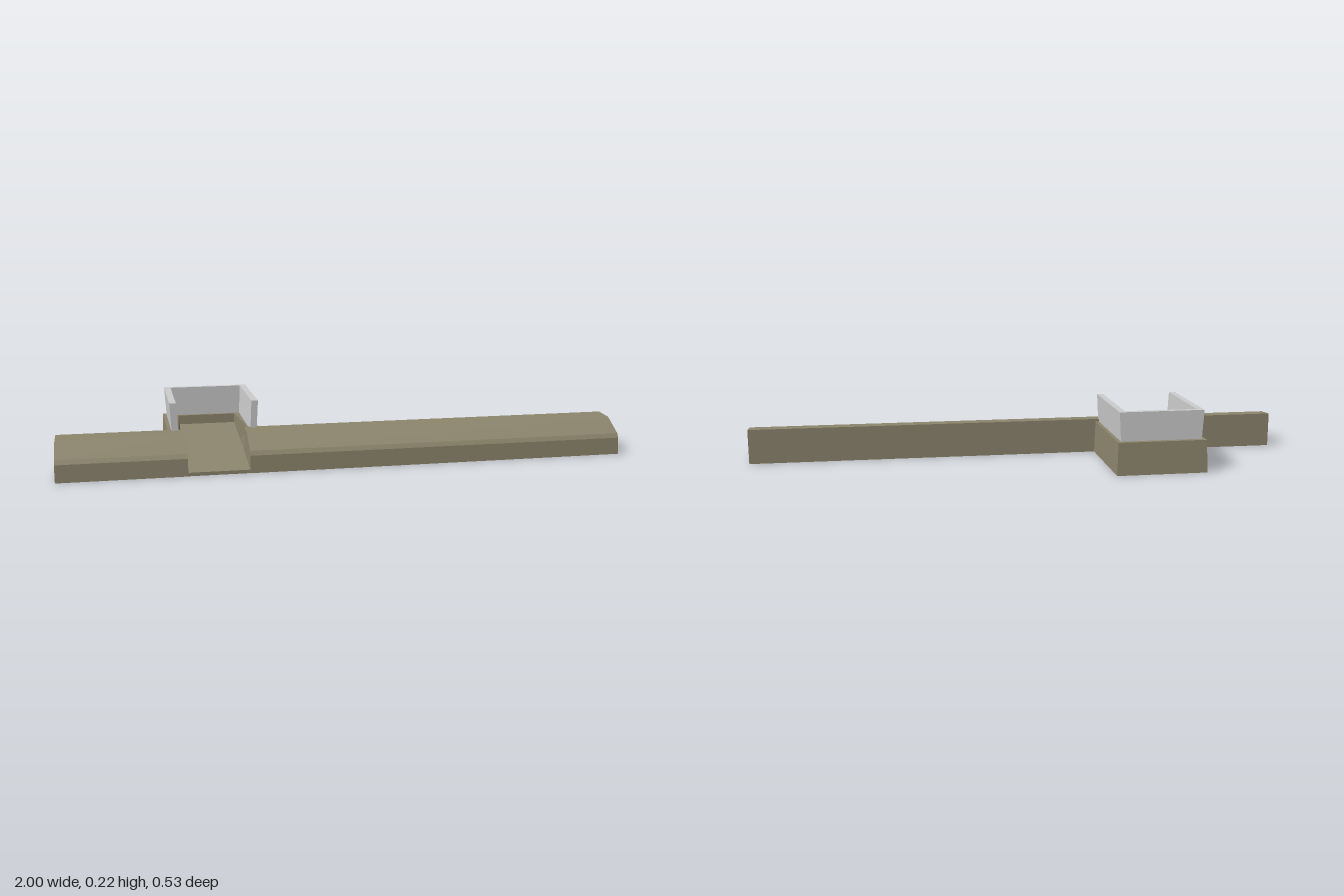
import * as THREE from 'three';

const earth = new THREE.MeshStandardMaterial({ color: 0x8c856d, flatShading: true });
const grey = new THREE.MeshStandardMaterial({ color: 0xcccccc, flatShading: true });

const PIT_X = -0.462; // centre line of the pit
const GAP = 0.105;    // half width of the ramp
const RIM_Y = 0.118;

// Solid lofted between a bottom and a top ring, both counter-clockwise seen from above
function loft(name, bottom, top) {
  const pos = [];
  const tri = (a, b, c) => pos.push(...a, ...b, ...c);
  const n = bottom.length;
  for (let i = 0; i < n; i++) {
    const j = (i + 1) % n;
    tri(bottom[i], bottom[j], top[j]);
    tri(bottom[i], top[j], top[i]);
    if (i > 0 && i < n - 1) {
      tri(top[0], top[i], top[i + 1]);
      tri(bottom[0], bottom[i + 1], bottom[i]);
    }
  }
  const geo = new THREE.BufferGeometry();
  geo.setAttribute('position', new THREE.Float32BufferAttribute(pos, 3));
  geo.computeVertexNormals();
  const mesh = new THREE.Mesh(geo, earth);
  mesh.name = name;
  return mesh;
}

// Length of bank with a sloping front, from x0 to x1
function bank(name, x0, x1) {
  const profile = [[0.267, 0], [0.264, 0.06], [0.255, 0.075], [0.178, 0.122], [0.103, 0.128], [0.103, 0]];
  const shape = new THREE.Shape(profile.map(([z, y]) => new THREE.Vector2(-z, y)));
  const geo = new THREE.ExtrudeGeometry(shape, { depth: x1 - x0, bevelEnabled: false });
  geo.rotateY(Math.PI / 2);
  geo.translate(x0, 0, 0);
  const mesh = new THREE.Mesh(geo, earth);
  mesh.name = name;
  return mesh;
}

export function createModel() {
  const group = new THREE.Group();
  group.add(bank('rightBank', -1, PIT_X - GAP), bank('leftBank', PIT_X + GAP, 1));

  const pit = new THREE.Group();
  pit.name = 'pit';
  pit.position.x = PIT_X;
  group.add(pit);

  // Ramp rising from the front edge to the back of the pit
  const ramp = [[-GAP, 0.265], [GAP, 0.265], [GAP, -0.205], [-GAP, -0.205]];
  pit.add(loft('ramp',
    ramp.map(([x, z]) => [x, 0, z]),
    ramp.map(([x, z]) => [x, z > 0 ? 0.012 : 0.085, z])));

  // Earth rim: a back piece and two mirrored sides
  pit.add(loft('backRim',
    [[-GAP, 0, -0.205], [GAP, 0, -0.205], [GAP, 0, -0.267], [-GAP, 0, -0.267]],
    [[-GAP, RIM_Y, -0.207], [GAP, RIM_Y, -0.207], [GAP, RIM_Y, -0.26], [-GAP, RIM_Y, -0.26]]));
  const sideBottom = [[GAP, 0, 0.103], [0.165, 0, 0.103], [0.165, 0, -0.267], [GAP, 0, -0.267]];
  const sideTop = [[0.125, RIM_Y, 0.103], [0.161, RIM_Y, 0.103], [0.161, RIM_Y, -0.26], [GAP, RIM_Y, -0.26],
    [GAP, RIM_Y, -0.207]];
  sideBottom.push([GAP, 0, -0.205]);
  const mirror = (ring) => ring.map(([x, y, z]) => [-x, y, z]).reverse();
  pit.add(loft('leftRim', sideBottom, sideTop));
  pit.add(loft('rightRim', mirror(sideBottom), mirror(sideTop)));

  // U-shaped parapet, open at the front and leaning slightly outward
  const outline = [[-0.154, -0.115], [-0.131, -0.115], [-0.131, 0.222], [0.131, 0.222],
    [0.131, -0.115], [0.154, -0.115], [0.154, 0.242], [-0.154, 0.242]];
  const shape = new THREE.Shape(outline.map(([x, y]) => new THREE.Vector2(x, y)));
  const geo = new THREE.ExtrudeGeometry(shape, { depth: 0.223 - RIM_Y, bevelEnabled: false });
  geo.rotateX(-Math.PI / 2);
  geo.translate(0, RIM_Y, 0);
  const p = geo.attributes.position;
  for (let i = 0; i < p.count; i++) {
    if (p.getY(i) < 0.17) p.setX(i, p.getX(i) * 0.96);
  }
  geo.computeVertexNormals();
  const parapet = new THREE.Mesh(geo, grey);
  parapet.name = 'parapet';
  pit.add(parapet);

  return group;
}
